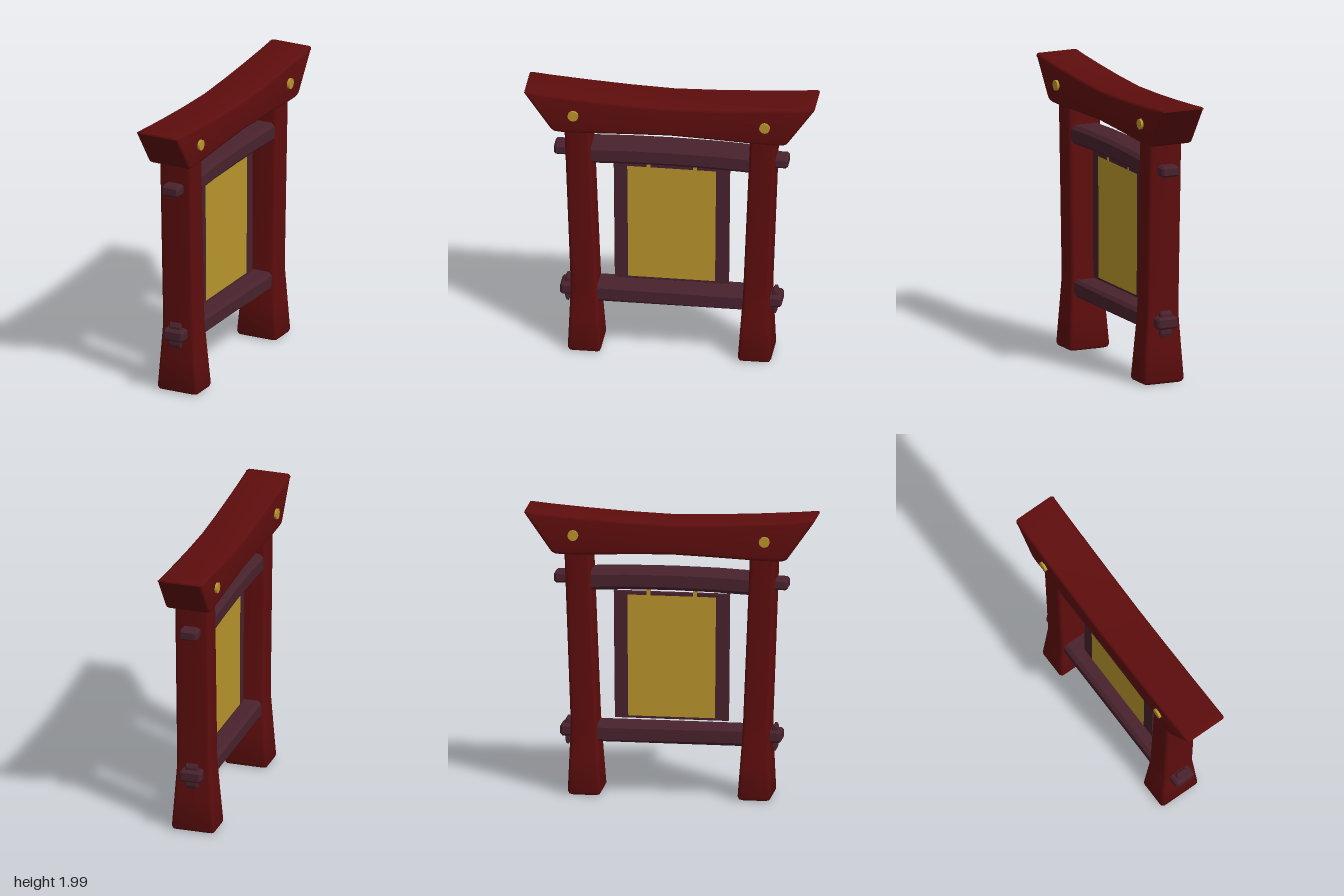
import * as THREE from 'three';
import { toCreasedNormals } from 'three/addons/utils/BufferGeometryUtils.js';

const mat = (name, color) => new THREE.MeshStandardMaterial({ name, color });

// Side profile given as [z, y] points, extruded across x with its edges bevelled inward
function slab(points, halfX, bevel, segments = 1, crease = 0.3) {
  const shape = new THREE.Shape(points.map(([z, y]) => new THREE.Vector2(z, y)));
  const depth = 2 * (halfX - bevel);
  const geo = new THREE.ExtrudeGeometry(shape, {
    depth, bevelEnabled: true, bevelThickness: bevel, bevelSize: bevel,
    bevelOffset: -bevel, bevelSegments: segments,
  });
  geo.translate(0, 0, -depth / 2);
  geo.rotateY(-Math.PI / 2);
  return toCreasedNormals(geo, crease);
}

// Rectangle outline in z and y with chamfered corners
function chamferedRect(z0, z1, y0, y1, c) {
  return [[z0 + c, y0], [z1 - c, y0], [z1, y0 + c], [z1, y1 - c],
    [z1 - c, y1], [z0 + c, y1], [z0, y1 - c], [z0, y0 + c]];
}

// Post lofted from rounded rectangles: [y, inner z, outer z, half width in x, corner radius]
function loftPost(sections) {
  const pos = [], index = [], steps = 4, n = 4 * (steps + 1);
  for (const [y, z0, z1, hx, r] of sections) {
    const cz = (z0 + z1) / 2, hz = (z1 - z0) / 2;
    for (let q = 0; q < 4; q++) {
      const sx = q === 0 || q === 3 ? 1 : -1, sz = q < 2 ? 1 : -1;
      for (let k = 0; k <= steps; k++) {
        const a = (q + k / steps) * Math.PI / 2;
        pos.push(sx * (hx - r) + r * Math.cos(a), y, cz + sz * (hz - r) + r * Math.sin(a));
      }
    }
  }
  const rows = sections.length;
  for (let i = 0; i < rows - 1; i++) {
    for (let j = 0; j < n; j++) {
      const a = i * n + j, b = i * n + (j + 1) % n;
      index.push(a, a + n, b, b, a + n, b + n);
    }
  }
  // End caps
  for (let j = 1; j < n - 1; j++) {
    const t = (rows - 1) * n;
    index.push(0, j, j + 1, t, t + j + 1, t + j);
  }
  const geo = new THREE.BufferGeometry();
  geo.setAttribute('position', new THREE.Float32BufferAttribute(pos, 3));
  geo.setIndex(index);
  return toCreasedNormals(geo, 0.7);
}

export function createModel() {
  const model = new THREE.Group();
  model.name = 'gate';
  const red = mat('redLacquer', 0x5e0d0d);
  const plum = mat('darkPlumWood', 0x48222d);
  const gold = mat('gold', 0xba962d);

  const add = (parent, name, geo, material) => {
    const mesh = new THREE.Mesh(geo, material);
    mesh.name = name;
    parent.add(mesh);
    return mesh;
  };
  // Mirrors half a profile (z > 0) onto the other side
  const mirrored = (half) => [...half, ...half.filter(([z]) => z > 0).reverse().map(([z, y]) => [-z, y])];

  // Curved top beam with swept ends
  const beamTop = [[0, 1.93], [0.3, 1.94], [0.6, 1.957], [0.85, 1.975], [0.98, 1.987], [0.997, 1.985], [1, 1.975]];
  const beamEnd = [[0.825, 1.725], [0.81, 1.706], [0.79, 1.695], [0.75, 1.69], [0.6, 1.692], [0.3, 1.705], [0, 1.715]];
  const outline = [...beamTop, ...beamEnd];
  const left = outline.slice(1, -1).reverse().map(([z, y]) => [-z, y]);
  add(model, 'topBeam', slab([...outline, ...left].reverse(), 0.158, 0.022, 4, 0.6), red);

  // Arched upper crossbar
  const archTop = [[0, 1.582], [0.3, 1.578], [0.6, 1.565]];
  const archLow = [[0.6, 1.432], [0.3, 1.445], [0, 1.45]];
  const arch = [...archTop, ...archLow];
  const archLeft = mirrored(arch).slice(arch.length);
  add(model, 'upperCrossbar', slab([...arch, ...archLeft].reverse(), 0.107, 0.025), plum);

  // Straight lower crossbar
  add(model, 'lowerCrossbar', slab(chamferedRect(-0.58, 0.58, 0.37, 0.492, 0.005), 0.107, 0.025), plum);

  // Each side: post, bar ends, locking wedge and peg
  const postGeo = loftPost([
    [0, 0.497, 0.673, 0.128, 0.015],
    [0.008, 0.48, 0.69, 0.145, 0.02],
    [0.028, 0.471, 0.7, 0.154, 0.025],
    [0.25, 0.486, 0.692, 0.138, 0.025],
    [0.46, 0.5, 0.685, 0.123, 0.025],
    [0.54, 0.504, 0.686, 0.121, 0.025],
    [1.76, 0.553, 0.73, 0.121, 0.025],
  ]);
  const upperEnd = slab(chamferedRect(0.66, 0.806, 1.468, 1.545, 0.015), 0.065, 0.015);
  const lowerEnd = slab(chamferedRect(0.62, 0.762, 0.395, 0.478, 0.015), 0.076, 0.015);
  const wedge = slab([[0.705, 0.335], [0.72, 0.335], [0.73, 0.36], [0.734, 0.495],
    [0.722, 0.518], [0.708, 0.518], [0.695, 0.495], [0.697, 0.36]], 0.044, 0.007);
  const peg = new THREE.CylinderGeometry(0.037, 0.037, 0.35, 12);
  peg.rotateZ(Math.PI / 2);
  peg.translate(0, 1.83, 0.66);
  const hanger = new THREE.BoxGeometry(0.03, 0.07, 0.026);
  hanger.translate(0, 1.425, 0.16);
  for (const [side, turn] of [['front', 0], ['back', Math.PI]]) {
    const g = new THREE.Group();
    g.name = side + 'Side';
    g.rotation.y = turn;
    add(g, side + 'Post', postGeo, red);
    add(g, side + 'UpperBarEnd', upperEnd, plum);
    add(g, side + 'LowerBarEnd', lowerEnd, plum);
    add(g, side + 'Wedge', wedge, plum);
    add(g, side + 'Peg', toCreasedNormals(peg, 0.6), gold);
    add(g, side + 'Hanger', hanger, gold);
    model.add(g);
  }

  // Hanging panel with a gold face on both sides
  const panel = [[-0.392, 0.525], [0.392, 0.525], [0.4, 1.415], [-0.4, 1.415]];
  add(model, 'hangingPanel', slab(panel, 0.014, 0.002), plum);
  const face = new THREE.Shape([[-0.299, 0.542], [0.299, 0.542], [0.306, 1.392], [-0.306, 1.392]]
    .map(([z, y]) => new THREE.Vector2(z, y)));
  for (const s of [1, -1]) {
    const plate = add(model, s > 0 ? 'leftGoldFace' : 'rightGoldFace', new THREE.ShapeGeometry(face), gold);
    plate.rotation.y = s * Math.PI / 2;
    plate.position.x = s * 0.018;
  }
  return model;
}
